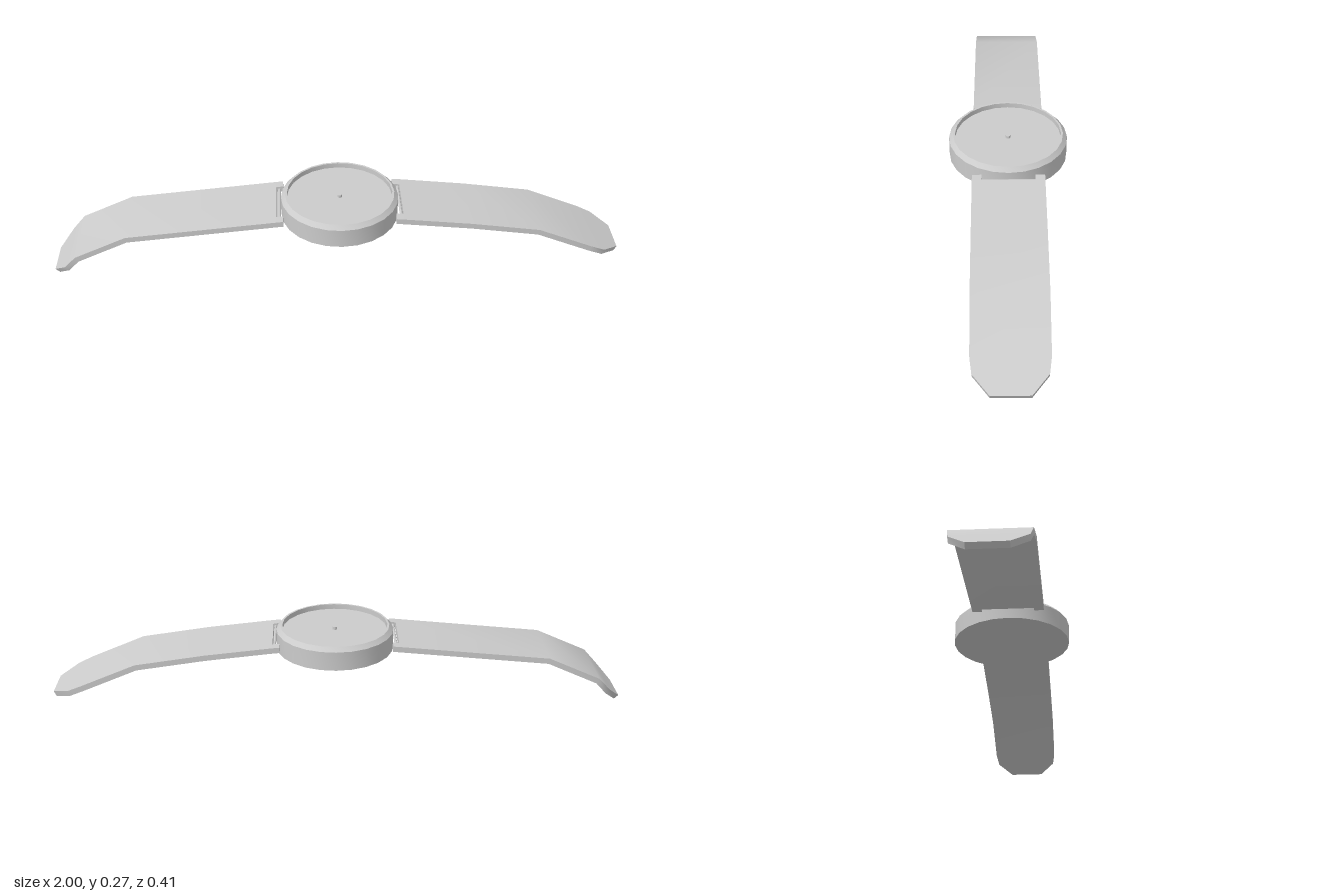
import * as THREE from 'three';
import { toCreasedNormals } from 'three/addons/utils/BufferGeometryUtils.js';

const material = new THREE.MeshStandardMaterial({ color: 0xcccccc });
const THICK = 0.02;

function addMesh(parent, name, geometry, crease = 0.6) {
  const mesh = new THREE.Mesh(toCreasedNormals(geometry, crease), material);
  mesh.name = name;
  parent.add(mesh);
  return mesh;
}

// Closed band lofted through rows [x, yTop, zMin, zMax], ordered by rising x
function band(rows) {
  const pos = [], idx = [];
  rows.forEach(([x, y, z0, z1], i) => {
    const a = rows[Math.max(i - 1, 0)], b = rows[Math.min(i + 1, rows.length - 1)];
    const dx = b[0] - a[0], dy = b[1] - a[1], len = Math.hypot(dx, dy);
    const bx = x + (dy / len) * THICK, by = y - (dx / len) * THICK;
    pos.push(x, y, z0, x, y, z1, bx, by, z1, bx, by, z0);
  });
  for (let i = 0; i < rows.length - 1; i++) {
    for (let k = 0; k < 4; k++) {
      const a = i * 4 + k, b = i * 4 + ((k + 1) % 4);
      idx.push(a, b, b + 4, a, b + 4, a + 4);
    }
  }
  const e = (rows.length - 1) * 4;
  idx.push(0, 2, 1, 0, 3, 2, e, e + 1, e + 2, e, e + 2, e + 3);
  const g = new THREE.BufferGeometry();
  g.setAttribute('position', new THREE.Float32BufferAttribute(pos, 3));
  g.setIndex(idx);
  return g;
}

// Strap half: body, two tabs beside the notch, and the bar across the notch
function strap(parent, name, rows, tabStart, tabEnd, barX) {
  const group = new THREE.Group();
  group.name = name;
  parent.add(group);
  addMesh(group, 'strapBody', band(rows.map(([x, y, h]) => [x, y, -h, h])));
  for (const [z0, z1] of [[-0.123, -0.09], [0.09, 0.123]]) {
    addMesh(group, 'strapTab', band([[...tabStart, z0, z1], [...tabEnd, z0, z1]]));
  }
  const bar = addMesh(group, 'springBar', new THREE.CylinderGeometry(0.005, 0.005, 0.18, 8));
  bar.rotation.x = Math.PI / 2;
  bar.position.set(barX, 0.228, 0);
}

export function createModel() {
  const model = new THREE.Group();
  model.name = 'wristwatch';

  // Case with chamfered bezel and recessed dial
  const profile = [
    [0, 0.19], [0.205, 0.19], [0.205, 0.257], [0.191, 0.272],
    [0.184, 0.272], [0.184, 0.254], [0, 0.254],
  ].map(([r, y]) => new THREE.Vector2(r, y));
  const watchCase = addMesh(model, 'case', new THREE.LatheGeometry(profile, 24));
  watchCase.position.x = 0.01;

  // Small pin at the middle of the dial
  const pin = addMesh(model, 'dialPin', new THREE.CylinderGeometry(0.008, 0.008, 0.012, 10));
  pin.position.set(0.01, 0.258, 0);

  // Longer, more curved strap half on -x
  strap(model, 'rightStrap', [
    [-1, 0.013, 0.062], [-0.953, 0.061, 0.115], [-0.91, 0.108, 0.123],
    [-0.73, 0.188, 0.123], [-0.21, 0.238, 0.123],
  ], [-0.21, 0.238], [-0.188, 0.24], -0.2);

  // Flatter strap half on +x
  strap(model, 'leftStrap', [
    [0.227, 0.238, 0.123], [0.46, 0.213, 0.123], [0.7, 0.179, 0.123],
    [0.89, 0.101, 0.122], [0.94, 0.079, 0.115], [1, 0.053, 0.062],
  ], [0.202, 0.24], [0.227, 0.238], 0.22);

  return model;
}
